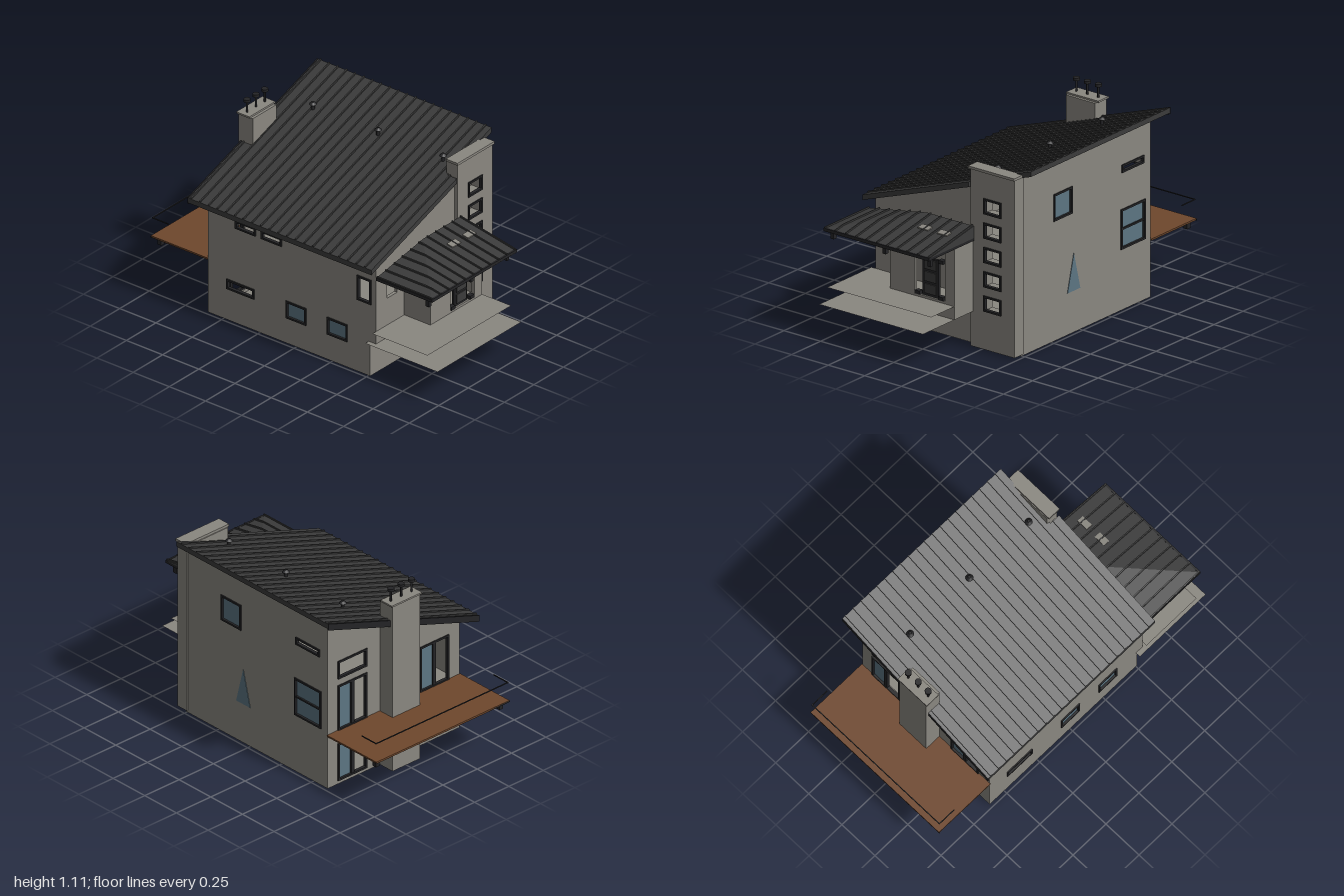
import * as THREE from 'three';

const mat = (name, color, side = THREE.FrontSide) => {
  const m = new THREE.MeshStandardMaterial({ color, side });
  m.name = name;
  return m;
};

export function createModel() {
  const house = new THREE.Group();
  house.name = 'house';
  const plaster = mat('grey plaster', 0x8a8780, THREE.DoubleSide);
  const slate = mat('dark roofing', 0x3b3b3b, THREE.DoubleSide);
  const trim = mat('black trim', 0x242426);
  const timber = mat('brown decking', 0x6e472c);
  const glass = mat('blue glass', 0x5c7582);

  const add = (name, geo, material, parent = house) => {
    const m = new THREE.Mesh(geo, material);
    m.name = name;
    parent.add(m);
    return m;
  };
  // Box given by its limits
  const box = (name, x0, x1, y0, y1, z0, z1, material, parent = house) =>
    add(name, new THREE.BoxGeometry(x1 - x0, y1 - y0, z1 - z0)
      .translate((x0 + x1) / 2, (y0 + y1) / 2, (z0 + z1) / 2), material, parent);
  const sheet = (name, x0, x1, z0, z1, y, material) =>
    add(name, new THREE.PlaneGeometry(x1 - x0, z1 - z0).rotateX(-Math.PI / 2)
      .translate((x0 + x1) / 2, y, (z0 + z1) / 2), material);
  const rect = (u0, u1, v0, v1) => [[u0, v0], [u1, v0], [u1, v1], [u0, v1]];
  const vectors = (pts) => pts.map(([a, b]) => new THREE.Vector2(a, b));
  const extrude = (pts, holes, depth) => {
    const shape = new THREE.Shape(vectors(pts));
    holes.forEach((h) => shape.holes.push(new THREE.Path(vectors(h))));
    return new THREE.ExtrudeGeometry(shape, { depth, bevelEnabled: false });
  };

  // Wall whose local +z faces outward; openings are [u0, u1, v0, v1, kind]
  const facade = (name, turn, dist, outline, openings, t = 0.02) => {
    const g = new THREE.Group();
    g.name = name;
    g.rotation.y = turn;
    g.position.set(Math.sin(turn) * dist, 0, Math.cos(turn) * dist);
    house.add(g);
    const holes = openings.map(([a, b, c, d]) => rect(a, b, c, d));
    add('wall', extrude(outline, holes, t).translate(0, 0, -t), plaster, g);
    for (const [a, b, c, d, kind] of openings) {
      if (kind === 'bare') continue;
      const w = 0.011, mid = (a + b) / 2;
      add('windowFrame', extrude(rect(a, b, c, d), [rect(a + w, b - w, c + w, d - w)], 0.02)
        .translate(0, 0, -0.013), trim, g);
      if (kind === 'open') continue;
      const right = kind === 'door' ? mid : b;
      add('pane', new THREE.PlaneGeometry(right - a, d - c)
        .translate((a + right) / 2, (c + d) / 2, -0.006), glass, g);
      if (kind === 'door') box('doorStile', mid - w, mid + w, c, d, -0.012, 0.005, trim, g);
      if (kind === 'sash') box('sashBar', a, b, (c + d) / 2 - 0.005, (c + d) / 2 + 0.005, -0.012, 0.004, trim, g);
    }
    return g;
  };

  // Main walls
  const wallTop = (x) => 0.87 + 0.345 * x;
  const W = 0.48;
  facade('frontWall', 0, 0.55, [[-W, 0.22], [W, 0.22], [W, wallTop(W)], [-W, wallTop(-W)]],
    [[-0.385, -0.3, 0.46, 0.59, 'bare'], [0.265, 0.405, 0.23, 0.92, 'bare']]);
  box('frontBase', -W, W, 0.01, 0.22, 0.49, 0.51, plaster);
  facade('backWall', Math.PI, 0.61, [[-W, 0.01], [W, 0.01], [W, wallTop(-W)], [-W, wallTop(W)]], [
    [-0.407, -0.195, 0.34, 0.62, 'door'], [0.19, 0.4, 0.34, 0.62, 'door'],
    [-0.407, -0.195, 0.03, 0.26, 'door'], [0.19, 0.4, 0.03, 0.26, 'door'],
    [-0.407, -0.195, 0.66, 0.77, 'open'],
  ]);
  const right = facade('rightWall', Math.PI / 2, W,
    [[-0.51, 0.01], [0.61, 0.01], [0.61, wallTop(W)], [-0.55, wallTop(W)], [-0.55, 0.22], [-0.51, 0.22]], [
      [-0.23, -0.07, 0.7, 0.855, 'pane'], [0.35, 0.56, 0.36, 0.59, 'sash'], [0.36, 0.55, 0.8, 0.845, 'open'],
    ]);
  add('triangularPane', extrude([[-0.11, 0.25], [0, 0.25], [-0.055, 0.465]], [], 0.003), glass, right);
  facade('leftWall', -Math.PI / 2, W,
    [[-0.61, 0.01], [0.51, 0.01], [0.51, 0.22], [0.55, 0.22], [0.55, wallTop(-W)], [-0.61, wallTop(-W)]], [
      [-0.07, 0.07, 0.165, 0.27, 'pane'], [0.215, 0.355, 0.165, 0.27, 'pane'],
      [-0.48, -0.29, 0.2, 0.26, 'open'], [-0.42, -0.28, 0.59, 0.64, 'open'],
      [-0.24, -0.1, 0.59, 0.64, 'open'], [0.42, 0.52, 0.45, 0.6, 'open'],
    ]);
  sheet('foundation', -W, W, -0.61, 0.51, 0.012, plaster);
  sheet('upperFloor', -W, W, -0.6, 0.53, 0.32, plaster);

  // Stair tower with stacked windows
  facade('stairTower', 0, 0.57, rect(0.185, 0.485, 0.02, 1.04),
    [0.285, 0.425, 0.565, 0.705, 0.845].map((y) => [0.275, 0.395, y - 0.045, y + 0.045, 'open']), 0.075);
  box('towerCap', 0.175, 0.49, 1.04, 1.055, 0.5, 0.58, plaster);

  // Sloping main roof with standing seams
  const slope = (name, x0, x1, z0, z1, low, high, material) => {
    const y = (x) => 0.9 + 0.345 * x;
    add(name, extrude([[x0, y(x0) + low], [x1, y(x1) + low], [x1, y(x1) + high], [x0, y(x0) + high]], [], z1 - z0)
      .translate(0, 0, z0), material);
  };
  slope('mainRoof', -0.55, 0.55, -0.69, 0.51, -0.03, 0, slate);
  slope('mainRoofFront', -0.55, 0.175, 0.51, 0.575, -0.03, 0, slate);
  slope('backBargeboard', -0.55, 0.55, -0.694, -0.686, -0.036, 0.003, trim);
  for (let i = 0; i < 21; i++) {
    const z = -0.67 + i * 0.06;
    slope('roofSeam', -0.55, z > 0.5 ? 0.175 : 0.55, z - 0.004, z + 0.004, 0, 0.008, slate);
  }
  for (const z of [-0.48, -0.03, 0.42]) {
    add('roofVentPipe', new THREE.CylinderGeometry(0.01, 0.01, 0.035, 10).translate(0.25, 1.0, z), trim);
    add('roofVentCap', new THREE.CylinderGeometry(0.008, 0.022, 0.014, 10).translate(0.25, 1.022, z), trim);
  }

  // Chimney with three pots
  box('chimney', -0.1, 0.1, 0.01, 1.03, -0.71, -0.61, plaster);
  box('chimneyCap', -0.11, 0.11, 1.03, 1.04, -0.716, -0.626, plaster);
  for (const x of [-0.075, 0, 0.075]) {
    add('chimneyPipe', new THREE.CylinderGeometry(0.006, 0.006, 0.07, 8).translate(x, 1.072, -0.67), trim);
    add('chimneyCowl', new THREE.CylinderGeometry(0.019, 0.019, 0.016, 12).translate(x, 1.112, -0.67), trim);
  }

  // Entrance block
  facade('entranceFront', 0, 0.73, rect(-0.24, 0.2, 0.22, 0.65), [[-0.07, 0.135, 0.31, 0.59, 'bare']]);
  for (const x of [-0.24, 0.18]) box('entranceSide', x, x + 0.02, 0.22, 0.65, 0.55, 0.715, plaster);
  box('frontDoor', -0.025, 0.085, 0.31, 0.53, 0.705, 0.72, trim);
  for (const y of [0.325, 0.395, 0.465]) box('doorPanel', -0.01, 0.07, y, y + 0.055, 0.72, 0.726, slate);
  for (const x of [-0.05, 0.11]) for (const y of [0.32, 0.53])
    box('doorBracket', x - 0.017, x + 0.017, y - 0.01, y + 0.01, 0.705, 0.735, trim);

  // Hipped porch roof
  const p = [[-0.51, 0.645, 0.96], [0.21, 0.645, 0.96], [0.21, 0.715, 0.575],
    [-0.11, 0.715, 0.575], [-0.51, 0.645, 0.575], [0.21, 0.645, 0.575]];
  const tris = [0, 1, 2, 0, 2, 3, 0, 3, 4, 1, 5, 2];
  const porch = new THREE.BufferGeometry();
  porch.setAttribute('position', new THREE.Float32BufferAttribute(tris.flatMap((i) => p[i]), 3));
  porch.computeVertexNormals();
  add('porchRoof', porch, slate);
  const porchY = (x, z) => 0.645 + 0.07 * Math.min((0.96 - z) / 0.385, (x + 0.51) / 0.4);
  box('porchFascia', -0.51, 0.21, 0.63, 0.648, 0.95, 0.962, trim);
  for (const x of [-0.51, 0.2]) box('porchSideFascia', x, x + 0.01, 0.63, 0.648, 0.575, 0.95, trim);
  // Strip draped over the porch roof
  const drape = (name, x0, x1, z0, z1, h, material) => {
    const g = new THREE.BoxGeometry(x1 - x0, h, z1 - z0, 1, 1, 12).translate((x0 + x1) / 2, h / 2, (z0 + z1) / 2);
    const a = g.attributes.position;
    for (let i = 0; i < a.count; i++) a.setY(i, a.getY(i) + porchY(a.getX(i), a.getZ(i)));
    g.computeVertexNormals();
    add(name, g, material);
  };
  for (let i = 0; i < 11; i++) {
    const x = -0.507 + i * 0.0705;
    drape('porchSeam', x, x + 0.007, 0.577, 0.96, 0.009, slate);
  }
  for (const x of [-0.05, 0.08]) drape('porchSkylight', x, x + 0.07, 0.69, 0.73, 0.006, plaster);
  for (const x of [-0.48, -0.125, 0.18]) box('porchPostHead', x - 0.01, x + 0.01, 0.58, 0.64, 0.9, 0.925, trim);
  sheet('patio', -0.51, 0.2, 0.5, 1.0, 0.22, plaster);
  sheet('porchFloor', -0.51, 0.2, 0.55, 0.93, 0.296, plaster);

  // Rear deck
  box('deck', -0.485, 0.485, 0.333, 0.343, -1.0, -0.61, timber);
  box('deckEdge', -0.487, 0.487, 0.332, 0.34, -1.0, -0.995, trim);
  box('deckRailBack', -0.48, 0.48, 0.45, 0.455, -0.995, -0.99, trim);
  for (const s of [-1, 1]) {
    box('deckRailSide', s * 0.48 - 0.0025, s * 0.48 + 0.0025, 0.45, 0.455, -0.995, -0.88, trim);
    box('deckPostHead', s * 0.45 - 0.013, s * 0.45 + 0.013, 0.29, 0.333, -0.973, -0.947, trim);
  }
  return house;
}
